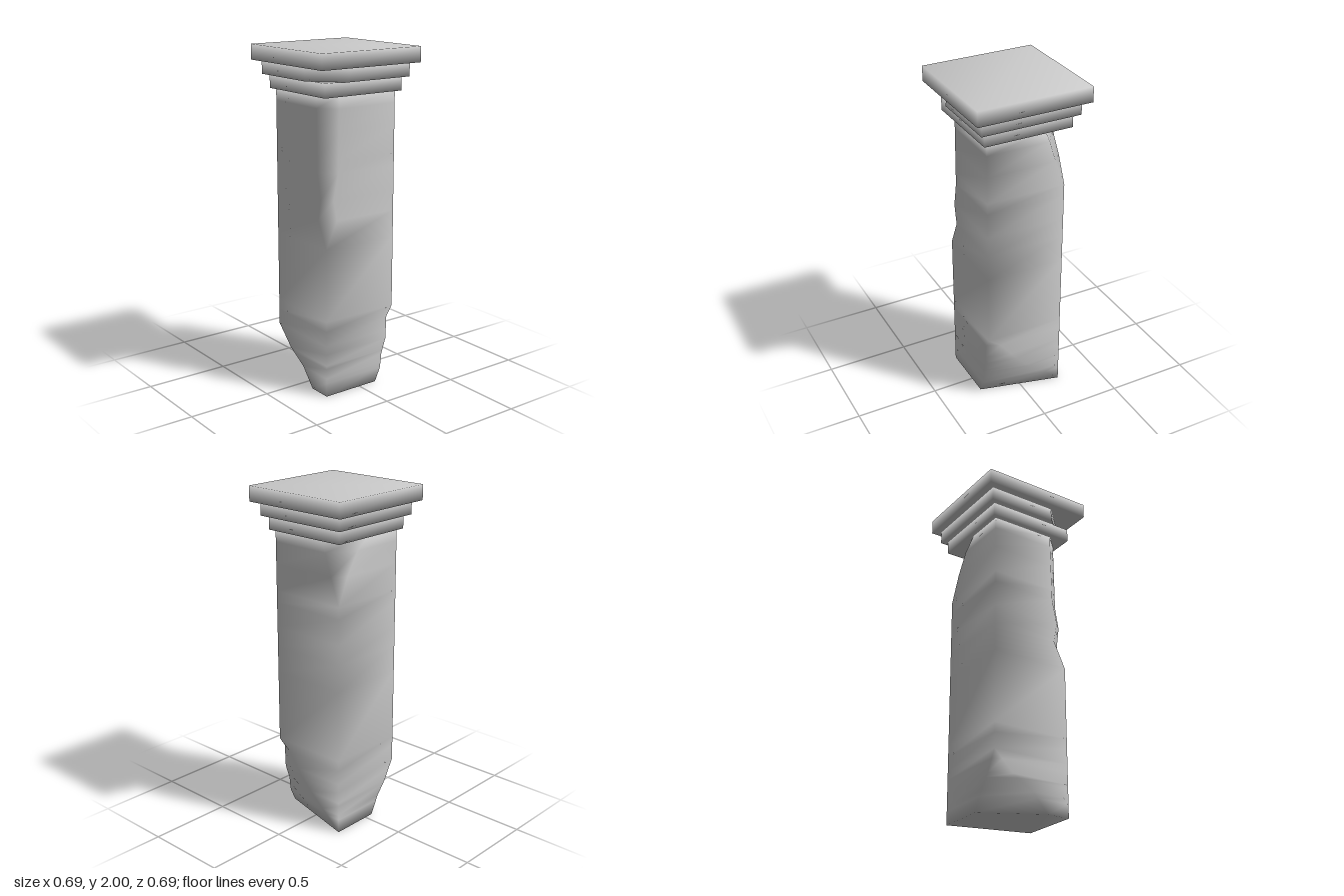
import * as THREE from 'three';
import { mergeVertices } from 'three/addons/utils/BufferGeometryUtils.js';

// Corners of a square section, in order round the pillar: [sign of x, sign of z]
const CORNERS = [[1, 1], [1, -1], [-1, -1], [-1, 1]];

// Size of a chip at height y, from rows of [y, cut along x, cut along z]
function cutAt(rows, y) {
  if (!rows) return [0, 0];
  if (y <= rows[0][0]) return rows[0].slice(1);
  for (let i = 1; i < rows.length; i++) {
    const a = rows[i - 1], b = rows[i];
    if (y <= b[0]) {
      const t = (y - a[0]) / (b[0] - a[0]);
      return [1, 2].map((k) => a[k] + (b[k] - a[k]) * t);
    }
  }
  return rows[rows.length - 1].slice(1);
}

// Square block whose corners may be chipped; chips holds one row list per corner
function chippedBlock(name, half, y0, y1, chips = []) {
  const heights = new Set([y0, y1]);
  chips.forEach((rows) => rows && rows.forEach((r) => heights.add(r[0])));
  const levels = [...heights].sort((a, b) => a - b);
  const pos = [], index = [];

  // Cross-sections: two points per corner
  for (const y of levels) {
    CORNERS.forEach(([sx, sz], c) => {
      const [cx, cz] = cutAt(chips[c], y);
      const alongX = [sx * (half - cx), y, sz * half];
      const alongZ = [sx * half, y, sz * (half - cz)];
      if (sx * sz > 0) pos.push(...alongX, ...alongZ);
      else pos.push(...alongZ, ...alongX);
    });
  }

  // Sides
  const n = 8;
  for (let r = 0; r < levels.length - 1; r++) {
    for (let i = 0; i < n; i++) {
      const a = r * n + i, b = r * n + ((i + 1) % n);
      index.push(a, b, b + n, a, b + n, a + n);
    }
  }
  // Bottom and top
  const top = (levels.length - 1) * n;
  for (let i = 1; i < n - 1; i++) {
    index.push(0, i + 1, i, top, top + i, top + i + 1);
  }

  // Weld coincident points and drop collapsed triangles
  let geo = new THREE.BufferGeometry();
  geo.setAttribute('position', new THREE.Float32BufferAttribute(pos, 3));
  geo.setIndex(index);
  geo = mergeVertices(geo, 1e-4);
  const welded = geo.index.array, kept = [];
  for (let i = 0; i < welded.length; i += 3) {
    const [a, b, c] = [welded[i], welded[i + 1], welded[i + 2]];
    if (a !== b && b !== c && c !== a) kept.push(a, b, c);
  }
  geo.setIndex(kept);
  geo.computeVertexNormals();

  const mesh = new THREE.Mesh(geo, new THREE.MeshStandardMaterial({ color: 0xcccccc }));
  mesh.name = name;
  return mesh;
}

export function createModel() {
  const pillar = new THREE.Group();
  pillar.name = 'brokenPillar';

  // Shaft with a worn patch at each corner
  const shaftChips = [
    // front left foot
    [[0, 0.122, 0.484], [0.08, 0.085, 0.39], [0.17, 0.075, 0.28],
      [0.26, 0.045, 0.19], [0.4, 0.04, 0.08], [0.46, 0, 0]],
    // back left, under the capital
    [[1.39, 0, 0], [1.55, 0.07, 0.06], [1.68, 0.15, 0.1], [1.75, 0.24, 0.13]],
    // back right foot
    [[0, 0.187, 0.342], [0.11, 0.13, 0.25], [0.19, 0.065, 0.12], [0.31, 0, 0]],
    // front right, upper half
    [[0.89, 0, 0], [1.05, 0.075, 0.075], [1.17, 0.052, 0.052],
      [1.32, 0.082, 0.082], [1.75, 0.09, 0.09]],
  ];
  pillar.add(chippedBlock('shaft', 0.242, 0, 1.75, shaftChips));

  // Stepped capital, its middle slab broken at the front right corner
  const slabChips = [null, null, null, [[1.83, 0.16, 0.17], [1.91, 0.18, 0.18]]];
  pillar.add(chippedBlock('lowerSlab', 0.268, 1.75, 1.83));
  pillar.add(chippedBlock('middleSlab', 0.3, 1.83, 1.91, slabChips));
  pillar.add(chippedBlock('topSlab', 0.343, 1.91, 2));

  return pillar;
}
